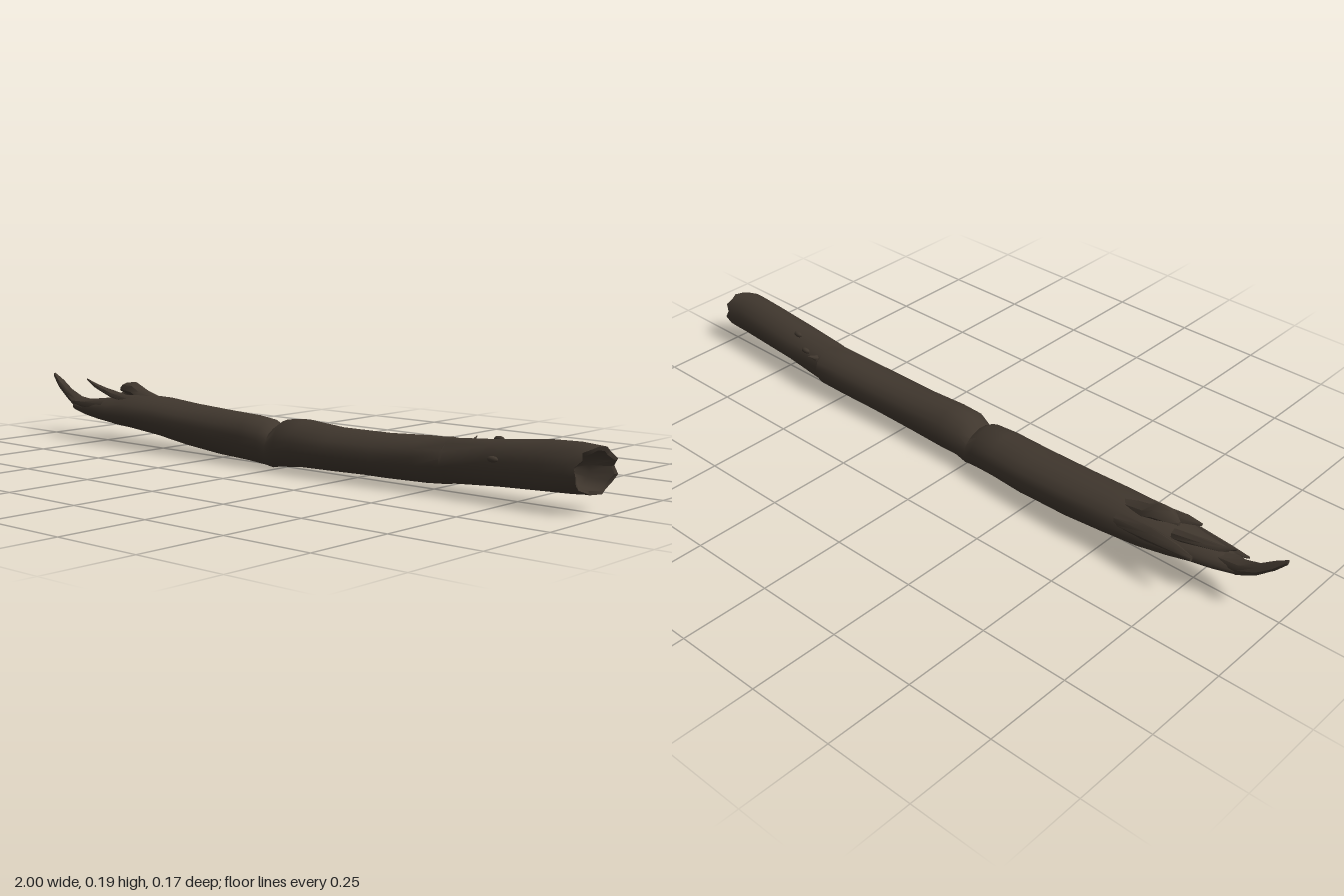
import * as THREE from 'three';
import { toCreasedNormals } from 'three/addons/utils/BufferGeometryUtils.js';

const bark = new THREE.MeshStandardMaterial({ color: 0x40372e });
bark.name = 'dark bark';

// Loft along x. Station: [x, top, bottom, back z, front z, slant of the cut]
function loft(name, stations, sides, rough) {
  const pos = [], index = [];
  stations.forEach(([x, top, bottom, back, front, slant = 0], i) => {
    const cy = (top + bottom) / 2, cz = (back + front) / 2;
    const ry = (top - bottom) / 2, rz = (front - back) / 2;
    for (let j = 0; j < sides; j++) {
      const a = (j / sides) * Math.PI * 2;
      const r = 1 + rough * (Math.sin(3 * a + i * 0.7) + Math.sin(5 * a - i * 1.9)) - rough;
      const jag = slant * (-Math.sin(a - 0.3) + 0.3 * Math.sin(j * 2.6));
      pos.push(x + jag, cy + Math.cos(a) * ry * r, cz + Math.sin(a) * rz * r);
    }
  });
  for (let i = 0; i < stations.length - 1; i++) {
    for (let j = 0; j < sides; j++) {
      const k = (j + 1) % sides;
      const a = i * sides + j, b = i * sides + k;
      index.push(a, b, a + sides, b, b + sides, a + sides);
    }
  }
  // Close both ends with a fan
  const last = (stations.length - 1) * sides;
  for (let j = 1; j < sides - 1; j++) {
    index.push(0, j + 1, j, last, last + j, last + j + 1);
  }
  const geo = new THREE.BufferGeometry();
  geo.setAttribute('position', new THREE.Float32BufferAttribute(pos, 3));
  geo.setIndex(index);
  const mesh = new THREE.Mesh(toCreasedNormals(geo, 0.8), bark);
  mesh.name = name;
  return mesh;
}

export function createModel() {
  const group = new THREE.Group();
  group.name = 'brokenLog';

  // Main trunk: thin splintered end, notch in the middle, hollow cut at the right
  group.add(loft('trunk', [
    [-0.88, 0.115, 0.085, -0.02, 0.03],
    [-0.82, 0.125, 0.072, -0.035, 0.045],
    [-0.75, 0.132, 0.064, -0.05, 0.058],
    [-0.69, 0.142, 0.056, -0.065, 0.066],
    [-0.62, 0.155, 0.048, -0.082, 0.066],
    [-0.5, 0.153, 0.035, -0.086, 0.066],
    [-0.38, 0.148, 0.023, -0.084, 0.07],
    [-0.24, 0.143, 0.012, -0.08, 0.072],
    [-0.12, 0.138, 0.006, -0.068, 0.076],
    [-0.05, 0.133, 0.003, -0.058, 0.078],
    [-0.02, 0.112, 0.0, -0.053, 0.078],
    [0.015, 0.138, 0.004, -0.054, 0.081],
    [0.08, 0.142, 0.008, -0.056, 0.085],
    [0.2, 0.134, 0.013, -0.055, 0.085],
    [0.35, 0.133, 0.015, -0.058, 0.08],
    [0.48, 0.139, 0.016, -0.06, 0.072],
    [0.56, 0.143, 0.022, -0.064, 0.068],
    [0.565, 0.143, 0.025, -0.06, 0.066],
    [0.7, 0.152, 0.033, -0.052, 0.07],
    [0.85, 0.165, 0.04, -0.044, 0.074],
    [0.93, 0.169, 0.043, -0.041, 0.074, 0.01],
    [0.97, 0.163, 0.044, -0.04, 0.07, 0.024],
    [0.966, 0.152, 0.053, -0.032, 0.061, 0.024],
    [0.92, 0.145, 0.058, -0.026, 0.055, 0.01],
    [0.89, 0.115, 0.085, -0.005, 0.03]
  ], 18, 0.025));

  // Long torn tongue curling up at the left end
  group.add(loft('longSplinter', [
    [-1.0, 0.193, 0.178, -0.006, 0.006],
    [-0.97, 0.175, 0.145, -0.018, 0.014],
    [-0.93, 0.148, 0.112, -0.022, 0.012],
    [-0.88, 0.128, 0.088, -0.026, 0.028],
    [-0.82, 0.124, 0.075, -0.03, 0.042],
    [-0.74, 0.122, 0.072, -0.03, 0.045]
  ], 8, 0.06));

  // Shorter splinters and the lifted bark around the break
  const splinters = [
    [[-0.88, 0.18, 0.174, -0.034, -0.03], [-0.84, 0.168, 0.152, -0.044, -0.024],
      [-0.79, 0.158, 0.138, -0.045, -0.016], [-0.7, 0.145, 0.11, -0.045, -0.01]],
    [[-0.79, 0.138, 0.122, -0.088, -0.076], [-0.74, 0.148, 0.118, -0.089, -0.066],
      [-0.66, 0.148, 0.105, -0.087, -0.05], [-0.55, 0.135, 0.09, -0.08, -0.04]],
    [[-0.88, 0.118, 0.112, 0.03, 0.036], [-0.82, 0.125, 0.095, 0.016, 0.045],
      [-0.72, 0.13, 0.08, 0.015, 0.056]],
    [[-0.75, 0.163, 0.154, 0.008, 0.018], [-0.7, 0.158, 0.138, 0.0, 0.035],
      [-0.6, 0.148, 0.11, 0.0, 0.04]],
    [[-0.71, 0.168, 0.155, -0.03, -0.018], [-0.68, 0.184, 0.15, -0.042, 0.004],
      [-0.64, 0.187, 0.14, -0.048, 0.005], [-0.61, 0.17, 0.13, -0.05, 0.005],
      [-0.53, 0.15, 0.12, -0.04, 0.0]]
  ];
  splinters.forEach((s, i) => group.add(loft(i < 4 ? 'splinter' : 'liftedBark', s, 7, 0.06)));

  // Twig stub on the back
  const twig = new THREE.Mesh(new THREE.ConeGeometry(0.009, 0.04, 6), bark);
  twig.name = 'twigStub';
  twig.position.set(0.575, 0.128, -0.062);
  twig.rotation.x = -1.0;
  group.add(twig);

  // Low bark knots
  [[0.72, 0.11, 0.066], [0.68, 0.145, -0.02], [0.62, 0.125, -0.046]].forEach(([x, y, z]) => {
    const knot = new THREE.Mesh(new THREE.SphereGeometry(0.008, 8, 6), bark);
    knot.name = 'knot';
    knot.scale.x = 2;
    knot.position.set(x, y, z);
    group.add(knot);
  });
  return group;
}
